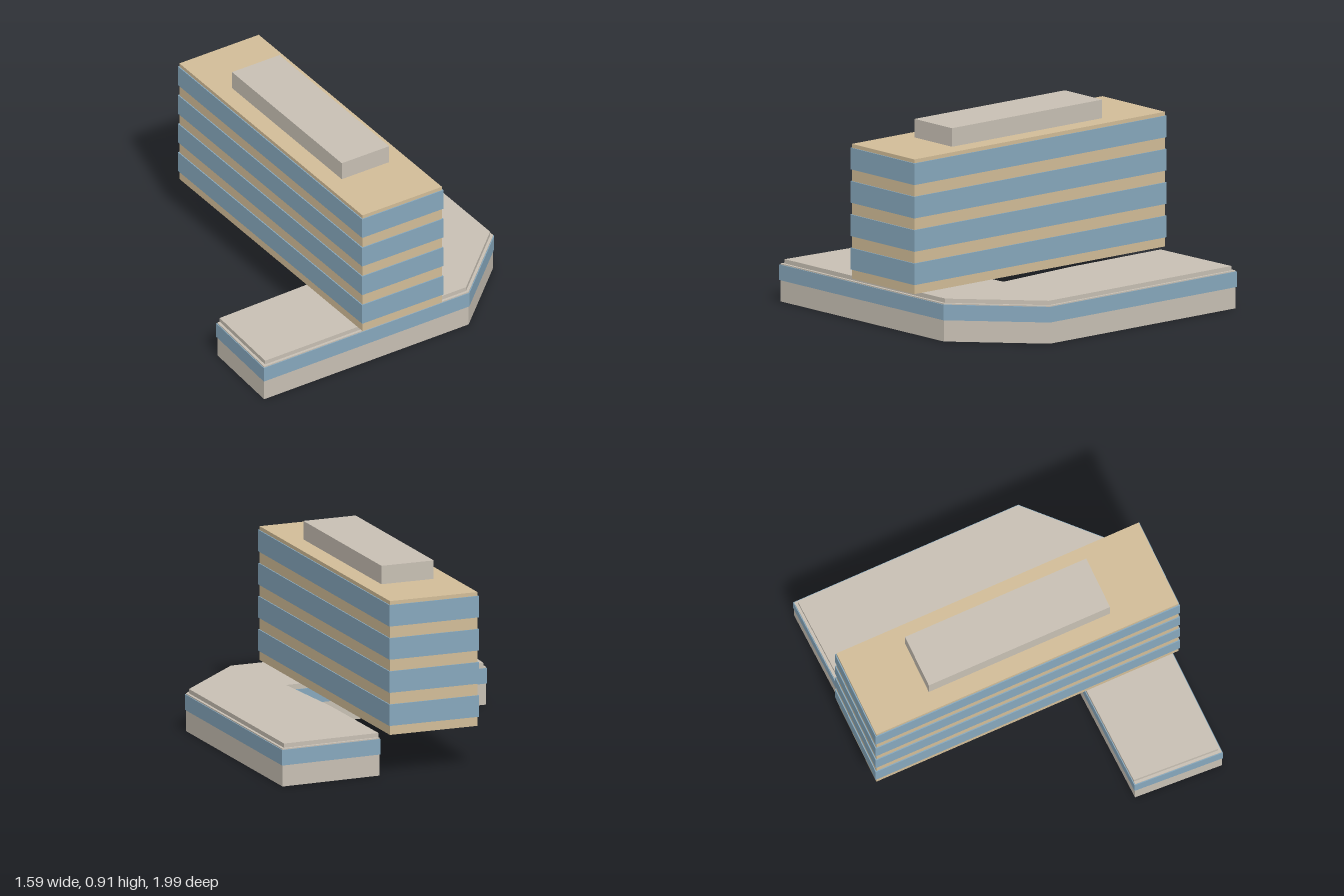
import * as THREE from 'three';

const sand = new THREE.MeshStandardMaterial({ name: 'sand cladding', color: 0xd2bd98 });
const stone = new THREE.MeshStandardMaterial({ name: 'pale stone', color: 0xc8c0b4 });
const glass = new THREE.MeshStandardMaterial({ name: 'blue glass', color: 0x87a8bd });

// Podium footprint as [x, z]; the last three walls before the end face the courtyard.
const footprint = [
  [-0.31, -0.995], [0.667, -0.457], [0.787, 0.01], [0.257, 0.988],
  [-0.10, 0.764], [0.355, -0.12], [-0.04, -0.30], [-0.53, -0.565],
];

// Moves each edge of a footprint outward by distance(edgeIndex) and rejoins the corners.
function offset(points, distance) {
  const n = points.length;
  const edges = points.map(([x, z], i) => {
    const [x2, z2] = points[(i + 1) % n];
    const len = Math.hypot(x2 - x, z2 - z);
    const dx = (x2 - x) / len, dz = (z2 - z) / len, d = distance(i);
    return { x: x + dz * d, z: z - dx * d, dx, dz };
  });
  return edges.map((b, i) => {
    const a = edges[(i + n - 1) % n];
    const t = ((b.x - a.x) * b.dz - (b.z - a.z) * b.dx) / (a.dx * b.dz - a.dz * b.dx);
    return [a.x + a.dx * t, a.z + a.dz * t];
  });
}

// Upright slab over a footprint, from height y0 to y1.
function slab(name, points, y0, y1, material) {
  const shape = new THREE.Shape(points.map(([x, z]) => new THREE.Vector2(x, -z)));
  const geometry = new THREE.ExtrudeGeometry(shape, { depth: y1 - y0, bevelEnabled: false });
  geometry.rotateX(-Math.PI / 2).translate(0, y0, 0);
  const mesh = new THREE.Mesh(geometry, material);
  mesh.name = name;
  return mesh;
}

// Box centred on the tower axis, from height y0 to y1.
function block(name, length, y0, y1, width, material) {
  const mesh = new THREE.Mesh(new THREE.BoxGeometry(length, y1 - y0, width), material);
  mesh.position.y = (y0 + y1) / 2;
  mesh.name = name;
  return mesh;
}

export function createModel() {
  const model = new THREE.Group();
  model.name = 'officeBuilding';

  // Low angular podium with a window band and a roof set back from the outer walls
  const podium = new THREE.Group();
  podium.name = 'podium';
  const courtyard = [4, 5, 6];
  podium.add(
    slab('podiumWalls', footprint, 0, 0.176, stone),
    slab('podiumWindowBand', offset(footprint, () => 0.004), 0.099, 0.171, glass),
    slab('podiumRoof', offset(footprint, (i) => (courtyard.includes(i) ? 0 : -0.013)), 0.17, 0.196, stone),
  );

  // Turned tower with four projecting window bands
  const tower = new THREE.Group();
  tower.name = 'tower';
  tower.position.set(-0.028, 0, -0.005);
  tower.rotation.y = -0.504;
  tower.add(block('towerWalls', 1.505, 0.196, 0.82, 0.43, sand));
  for (let i = 0; i < 4; i++) {
    const y = 0.239 + i * 0.1545;
    tower.add(block('towerWindowBand', 1.515, y, y + 0.1, 0.44, glass));
  }

  // Plant room on the tower roof
  tower.add(block('roofPlantRoom', 0.902, 0.82, 0.906, 0.257, stone));

  model.add(podium, tower);
  return model;
}
